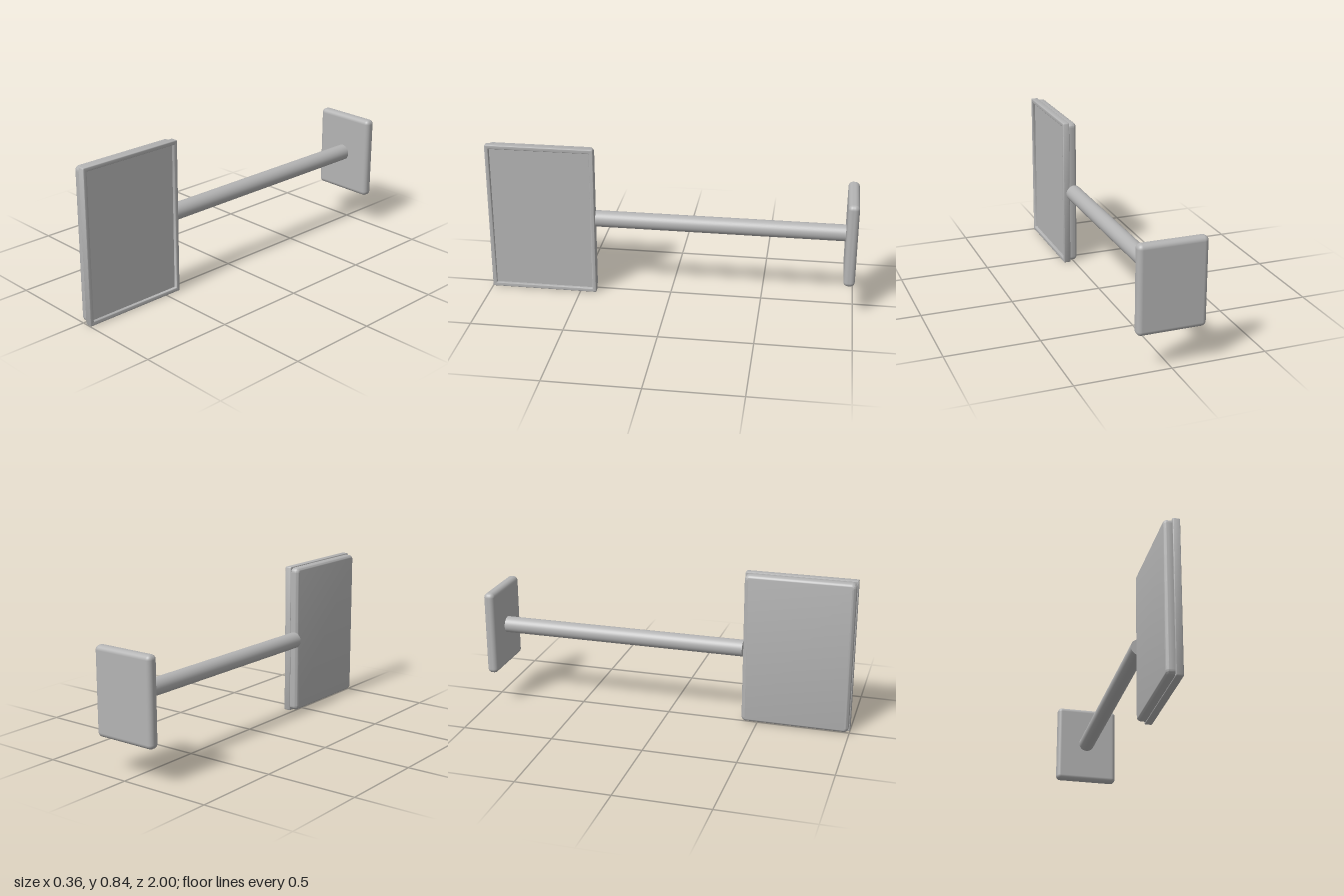
import * as THREE from 'three';
import { RoundedBoxGeometry } from 'three/addons/geometries/RoundedBoxGeometry.js';
import { toCreasedNormals } from 'three/addons/utils/BufferGeometryUtils.js';

// Rounded rectangle centred on the origin
function roundRect(path, w, h, r) {
  const x = w / 2, y = h / 2;
  path.moveTo(-x + r, -y);
  path.lineTo(x - r, -y);
  path.absarc(x - r, -y + r, r, -Math.PI / 2, 0);
  path.lineTo(x, y - r);
  path.absarc(x - r, y - r, r, 0, Math.PI / 2);
  path.lineTo(-x + r, y);
  path.absarc(-x + r, y - r, r, Math.PI / 2, Math.PI);
  path.lineTo(-x, -y + r);
  path.absarc(-x + r, -y + r, r, Math.PI, Math.PI * 1.5);
  return path;
}

// Bevelled extrusion that spans x0..x1, with its outline in the z-y plane
function sidePlate(shape, x0, x1, bevel, segments) {
  const geo = new THREE.ExtrudeGeometry(shape, {
    depth: x1 - x0 - 2 * bevel, bevelEnabled: true, bevelThickness: bevel,
    bevelSize: bevel, bevelOffset: -bevel, bevelSegments: segments, curveSegments: 6,
  });
  geo.translate(0, 0, x0 + bevel);
  geo.rotateY(Math.PI / 2);
  return toCreasedNormals(geo, 0.6);
}

export function createModel() {
  const group = new THREE.Group();
  const grey = new THREE.MeshStandardMaterial({ color: 0xb4b4b4 });

  const add = (name, geometry, x, y, z) => {
    const mesh = new THREE.Mesh(geometry, grey);
    mesh.name = name;
    mesh.position.set(x, y, z);
    group.add(mesh);
    return mesh;
  };

  // Mounting plate at the back
  add('wallPlate', new RoundedBoxGeometry(0.36, 0.465, 0.06, 5, 0.025), 0, 0.4225, -0.97);

  // Horizontal arm
  const arm = add('arm', new THREE.CylinderGeometry(0.045, 0.045, 1.375, 40), -0.002, 0.424, -0.2725);
  arm.rotation.x = Math.PI / 2;

  // Backing board, its soft outer edge facing -x
  const board = roundRect(new THREE.Shape(), 0.582, 0.831, 0.026);
  add('backBoard', sidePlate(board, -0.022, 0.042, 0.021, 6), 0, 0.421, 0.704);

  // Raised frame with an open window
  const frame = roundRect(new THREE.Shape(), 0.59, 0.842, 0.007);
  frame.holes.push(roundRect(new THREE.Path(), 0.546, 0.798, 0.002));
  add('frame', sidePlate(frame, 0.022, 0.06, 0.004, 3), 0, 0.421, 0.705);

  // Recessed panel that fills the window
  add('panel', new THREE.BoxGeometry(0.02, 0.804, 0.552), 0.034, 0.421, 0.705);

  return group;
}
